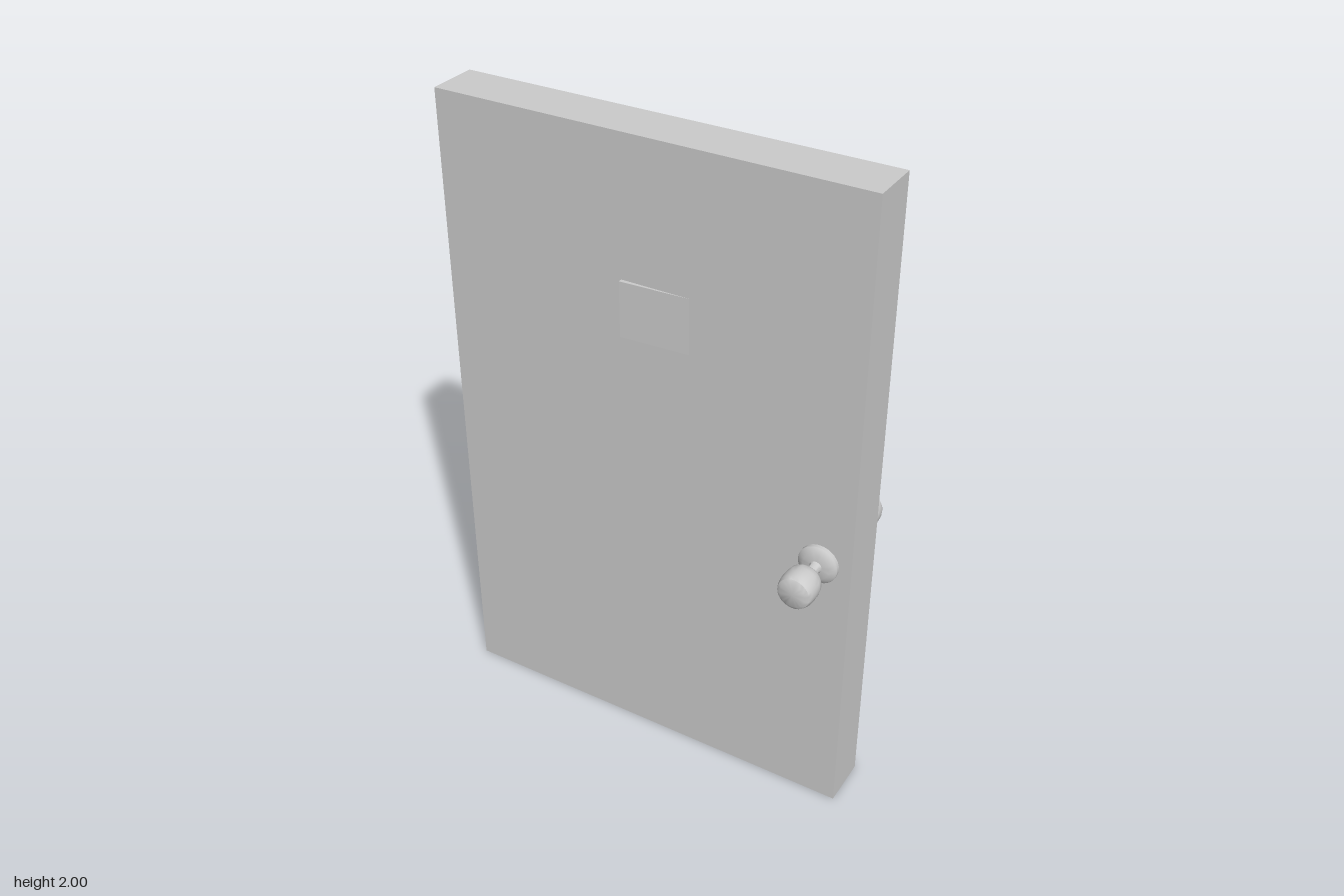
import * as THREE from 'three';
import { toCreasedNormals } from 'three/addons/utils/BufferGeometryUtils.js';

const material = new THREE.MeshStandardMaterial({ color: 0xcccccc });
const HALF = 0.077; // half thickness of the door

function mesh(name, geometry) {
  const m = new THREE.Mesh(geometry, material);
  m.name = name;
  return m;
}

// Turned part along +z, from [radius, distance] pairs
function turned(name, profile) {
  const points = profile.map(([r, d]) => new THREE.Vector2(r, d));
  const g = new THREE.LatheGeometry(points, 32).rotateX(Math.PI / 2);
  return mesh(name, toCreasedNormals(g, 0.6));
}

// Rosette, stem and knob for one side of the door
function createHandle(name) {
  const handle = new THREE.Group();
  handle.name = name;
  handle.add(
    turned('rosette', [[0, HALF - 0.01], [0.06, HALF - 0.01], [0.06, 0.088], [0.056, 0.092], [0.04, 0.1], [0, 0.1]]),
    turned('stem', [[0.02, 0.098], [0.016, 0.106], [0.016, 0.155]]),
    turned('knob', [[0, 0.152], [0.036, 0.152], [0.045, 0.156], [0.05, 0.164], [0.053, 0.18],
      [0.054, 0.2], [0.052, 0.222], [0.048, 0.234], [0.038, 0.24], [0, 0.24]])
  );
  return handle;
}

export function createModel() {
  const model = new THREE.Group();
  model.name = 'door';

  // Everything hangs on a leaf that is swung slightly open
  const leaf = new THREE.Group();
  leaf.name = 'leaf';
  leaf.position.z = 0.075;
  leaf.rotation.y = 0.134;
  model.add(leaf);

  const panel = mesh('panel', new THREE.BoxGeometry(1.307, 2, HALF * 2));
  panel.position.y = 1;
  leaf.add(panel);

  // Window plate through the panel, slightly tapered towards the handle side
  const outline = new THREE.Shape([[-0.072, -0.089], [0.138, -0.0772], [0.138, 0.103], [-0.072, 0.11]]
    .map(([x, y]) => new THREE.Vector2(x, y)));
  const plate = mesh('windowPlate', new THREE.ExtrudeGeometry(outline, { depth: 0.17, bevelEnabled: false }));
  plate.rotation.x = -Math.PI / 2;
  plate.position.y = 1.41;
  leaf.add(plate);

  // Handles on both faces
  const front = createHandle('frontHandle');
  const back = createHandle('backHandle');
  back.rotation.y = Math.PI;
  for (const handle of [front, back]) {
    handle.position.set(0.556, 0.875, 0);
    leaf.add(handle);
  }
  return model;
}
